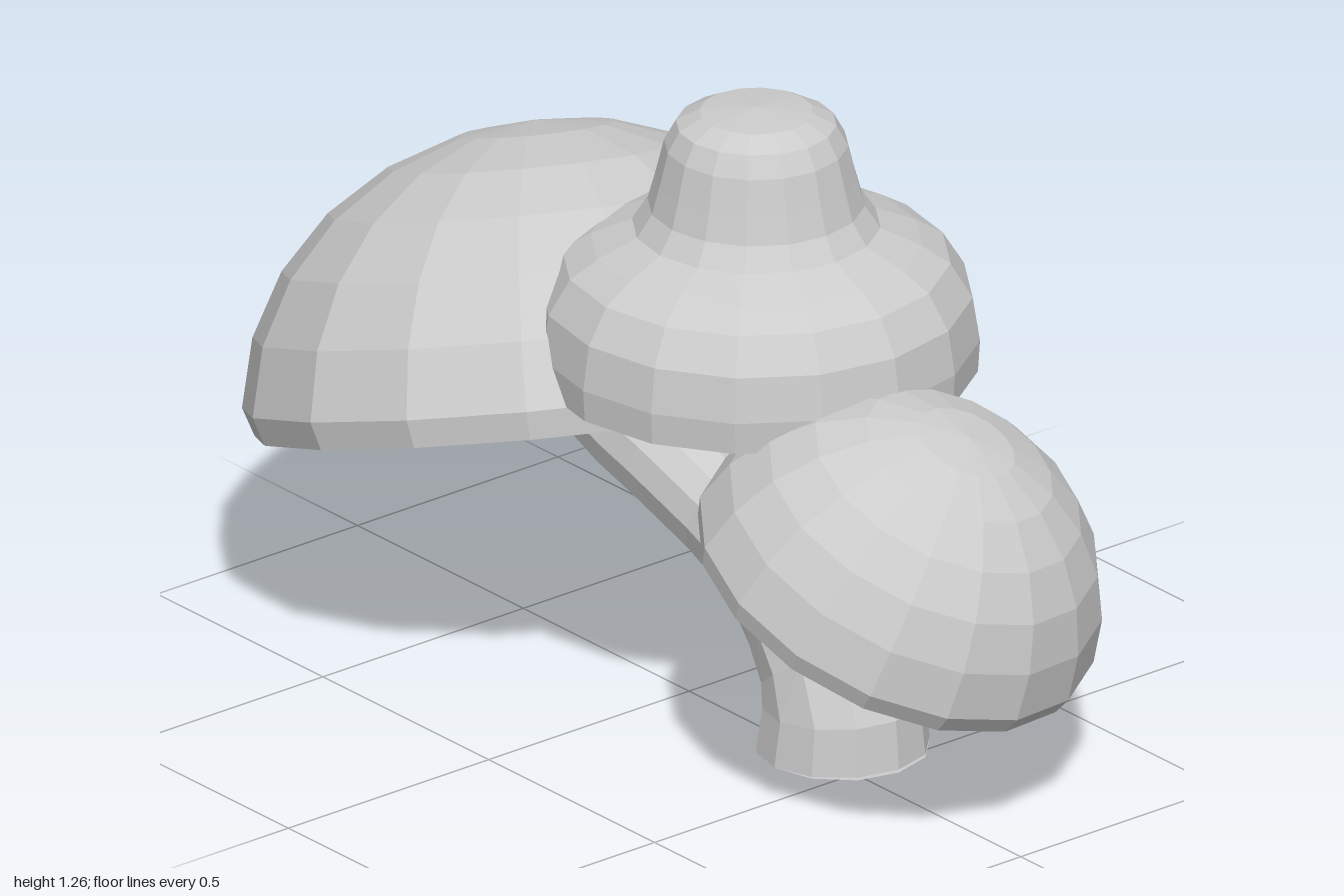
import * as THREE from 'three';

const material = new THREE.MeshStandardMaterial({
  color: 0xcccccc, flatShading: true, side: THREE.DoubleSide,
});
const V = (x, y, z) => new THREE.Vector3(x, y, z);
const UP = V(0, 1, 0);

function addMesh(parent, name, geometry) {
  const mesh = new THREE.Mesh(geometry, material);
  mesh.name = name;
  parent.add(mesh);
  return mesh;
}

// Tube along a smooth path whose radius eases from r0 to r1
function taperedTube(points, r0, r1, steps = 10, sides = 12) {
  const curve = new THREE.CatmullRomCurve3(points);
  const geometry = new THREE.TubeGeometry(curve, steps, 1, sides);
  const pos = geometry.attributes.position;
  const p = V(0, 0, 0);
  for (let i = 0; i <= steps; i++) {
    const centre = curve.getPointAt(i / steps);
    const r = THREE.MathUtils.lerp(r0, r1, Math.min(1, (i / steps) * 2.5));
    for (let j = 0; j <= sides; j++) {
      const k = i * (sides + 1) + j;
      p.fromBufferAttribute(pos, k).sub(centre).multiplyScalar(r).add(centre);
      pos.setXYZ(k, p.x, p.y, p.z);
    }
  }
  return geometry;
}

// Open dome: rim tucked in slightly, then rings up to the pole
function domeGeometry(radius, height, rings = 6) {
  const profile = [new THREE.Vector2(radius * 0.965, 0)];
  for (let i = 0; i <= rings; i++) {
    const a = THREE.MathUtils.lerp(0.1, Math.PI / 2, i / rings);
    profile.push(new THREE.Vector2(Math.max(0, radius * Math.cos(a)), height * Math.sin(a)));
  }
  profile[profile.length - 1].x = 0;
  return new THREE.LatheGeometry(profile, 16);
}

function addDome(parent, name, radius, height, rimCentre, axis) {
  const dome = addMesh(parent, name, domeGeometry(radius, height));
  dome.position.copy(rimCentre);
  dome.quaternion.setFromUnitVectors(UP, axis.normalize());
}

export function createModel() {
  const model = new THREE.Group();
  model.name = 'mushroomCluster';

  // Shared trunk that bends backward into the rear stem
  addMesh(model, 'trunkAndRearStem', taperedTube([
    V(0.06, 0, 0.39), V(0.06, 0.13, 0.385), V(0.06, 0.29, 0.24),
    V(0.06, 0.40, -0.05), V(0.06, 0.52, -0.35), V(0.07, 0.8, -0.5),
  ], 0.17, 0.105, 14));
  const base = addMesh(model, 'trunkBase', new THREE.CircleGeometry(0.17, 12));
  base.rotation.x = Math.PI / 2;
  base.position.set(0.06, 0, 0.39);

  // Middle and front stems
  addMesh(model, 'middleStem', taperedTube([
    V(0.06, 0.05, 0.39), V(0.06, 0.24, 0.37), V(0.06, 0.45, 0.29),
    V(0.06, 0.65, 0.21), V(0.06, 0.95, 0.13),
  ], 0.145, 0.095));
  addMesh(model, 'frontStem', taperedTube([
    V(0.06, 0.12, 0.38), V(0.06, 0.26, 0.42), V(0.06, 0.42, 0.54), V(0.07, 0.7, 0.69),
  ], 0.09, 0.07));

  // Bell-shaped middle cap
  const bell = [
    [0.428, 0.715], [0.432, 0.78], [0.418, 0.87], [0.375, 0.94], [0.32, 0.975],
    [0.24, 1.01], [0.21, 1.055], [0.195, 1.11], [0.178, 1.18], [0.155, 1.222],
    [0.11, 1.246], [0, 1.256],
  ].map(([r, y]) => new THREE.Vector2(r, y));
  const middle = addMesh(model, 'middleCap', new THREE.LatheGeometry(bell, 16));
  middle.position.set(0.06, 0, 0.13);

  // Tilted domes behind and in front
  addDome(model, 'rearCap', 0.625, 0.56, V(0, 0.46, -0.375), V(0.14, 1, -0.335));
  addDome(model, 'frontCap', 0.415, 0.405, V(0.01, 0.4, 0.59), V(0.19, 1, 0.43));

  return model;
}
